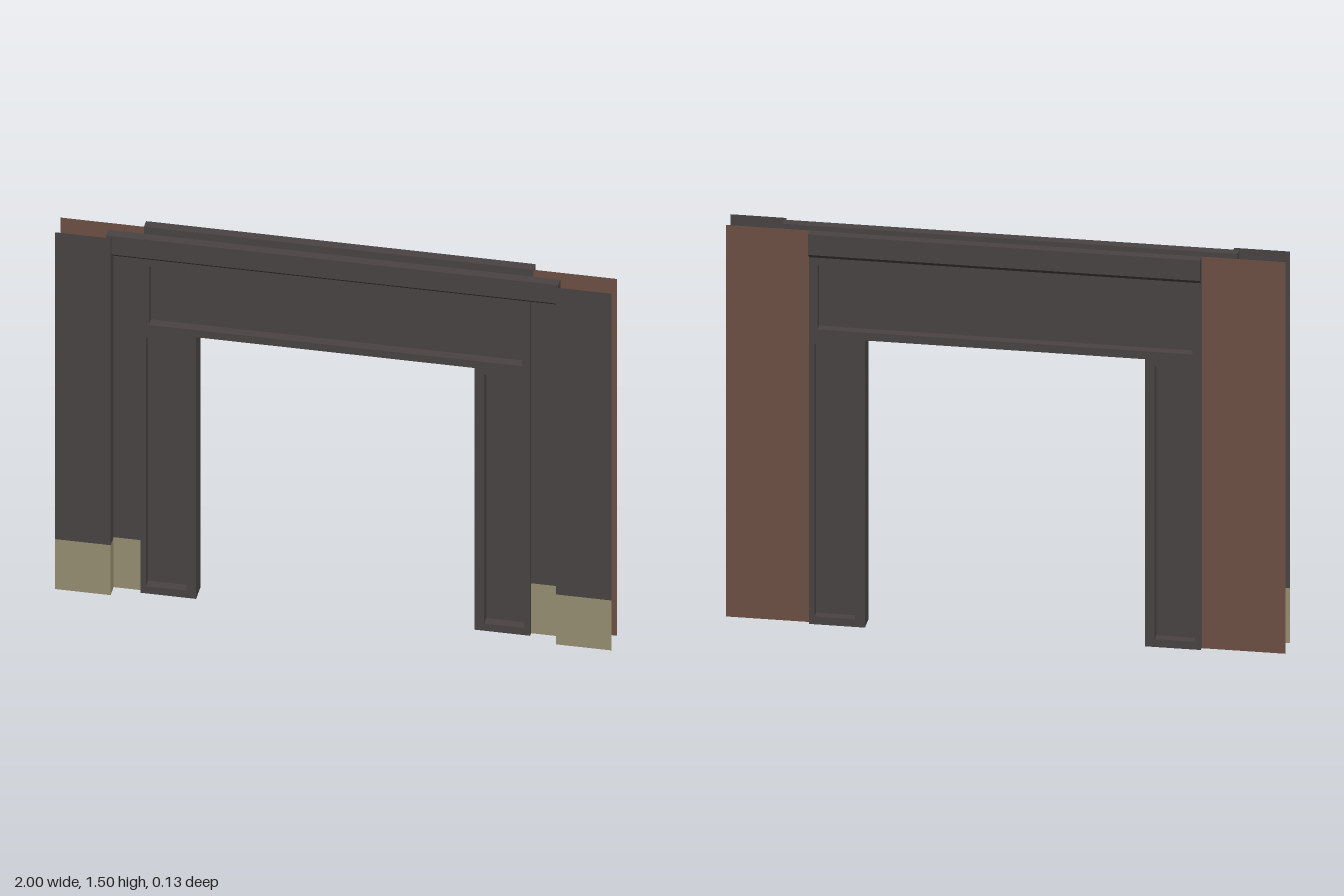
import * as THREE from 'three';

const mat = (name, color) => new THREE.MeshStandardMaterial({ name, color, side: THREE.DoubleSide });

export function createModel() {
  const root = new THREE.Group();
  root.name = 'doorway';
  const dark = mat('dark charcoal', 0x494443);
  const beige = mat('skirting beige', 0x988f72);
  const brown = mat('rear wall brown', 0x6e5045);

  const add = (parent, name, geo, material) => {
    const m = new THREE.Mesh(geo, material);
    m.name = name;
    parent.add(m);
    return m;
  };
  const group = (name) => {
    const g = new THREE.Group();
    g.name = name;
    root.add(g);
    return g;
  };
  // Flat sheets perpendicular to each axis
  const sheetZ = (p, name, x0, x1, y0, y1, z, m) =>
    add(p, name, new THREE.PlaneGeometry(Math.abs(x1 - x0), y1 - y0), m)
      .position.set((x0 + x1) / 2, (y0 + y1) / 2, z);
  const sheetX = (p, name, x, y0, y1, z0, z1, m) =>
    add(p, name, new THREE.PlaneGeometry(Math.abs(z1 - z0), y1 - y0).rotateY(Math.PI / 2), m)
      .position.set(x, (y0 + y1) / 2, (z0 + z1) / 2);
  const sheetY = (p, name, y, x0, x1, z0, z1, m) =>
    add(p, name, new THREE.PlaneGeometry(Math.abs(x1 - x0), Math.abs(z1 - z0)).rotateX(-Math.PI / 2), m)
      .position.set((x0 + x1) / 2, y, (z0 + z1) / 2);

  const H = 1.5, SK = 0.21, FRAME_TOP = 1.405;
  const Z_WALL = 0.067, Z_STEP = 0.014, Z_FRONT = 0.031, Z_BACK = -0.047, Z_REAR = -0.03;

  // Walls on both sides, with a beige skirting zone at the front
  const walls = group('walls');
  for (const s of [-1, 1]) {
    for (const [y0, y1, m, part] of [[0, SK, beige, 'skirting'], [SK, H, dark, 'wall']]) {
      sheetZ(walls, part + 'Front', s * 0.8, s, y0, y1, Z_WALL, m);
      sheetX(walls, part + 'Return', s * 0.8, y0, y1, Z_STEP, Z_WALL, m);
      sheetZ(walls, part + 'Step', s * 0.7, s * 0.8, y0, Math.min(y1, FRAME_TOP), Z_STEP, m);
    }
    sheetZ(walls, 'rearWall', s * 0.7, s, 0, H, Z_REAR, brown);
  }

  // Recessed panels: [x0, x1, y0, y1]
  const recesses = [
    [-0.68, -0.535, 0.03, 1.075],
    [0.535, 0.68, 0.03, 1.075],
    [-0.67, 0.67, 1.13, 1.375],
  ];

  // One face of the door frame with its sunken panels and outer edges
  const frame = group('doorFrame');
  const frameFace = (name, zFace, zPanel, zWall) => {
    const shape = new THREE.Shape([
      [-0.7, 0], [-0.5, 0], [-0.5, 1.1], [0.5, 1.1], [0.5, 0], [0.7, 0], [0.7, FRAME_TOP], [-0.7, FRAME_TOP],
    ].map(([x, y]) => new THREE.Vector2(x, y)));
    for (const [x0, x1, y0, y1] of recesses) {
      shape.holes.push(new THREE.Path([[x0, y0], [x0, y1], [x1, y1], [x1, y0]]
        .map(([x, y]) => new THREE.Vector2(x, y))));
      sheetZ(frame, name + 'Panel', x0, x1, y0, y1, zPanel, dark);
      for (const x of [x0, x1]) sheetX(frame, name + 'PanelSide', x, y0, y1, zPanel, zFace, dark);
      for (const y of [y0, y1]) sheetY(frame, name + 'PanelLedge', y, x0, x1, zPanel, zFace, dark);
    }
    const geo = new THREE.ShapeGeometry(shape);
    if (zFace < 0) geo.rotateY(Math.PI);
    add(frame, name + 'Face', geo, dark).position.z = zFace;
    for (const s of [-1, 1]) sheetX(frame, name + 'Edge', s * 0.7, 0, FRAME_TOP, zWall, zFace, dark);
  };
  frameFace('front', Z_FRONT, -0.006, Z_STEP);
  frameFace('back', Z_BACK, -0.011, Z_REAR);

  // Lining of the opening
  for (const s of [-1, 1]) sheetX(frame, 'jamb', s * 0.5, 0, 1.1, Z_BACK, Z_FRONT, dark);
  sheetY(frame, 'soffit', 1.1, -0.5, 0.5, Z_BACK, Z_FRONT, dark);

  // Header trims with a chamfered lower edge; profile runs outward from the wall
  const trim = (name, x0, x1, z0, dir) => {
    const profile = new THREE.Shape([[0, 1.405], [0.017, 1.405], [0.037, 1.422], [0.037, H], [0, H]]
      .map(([d, y]) => new THREE.Vector2(-(z0 + dir * d), y)));
    const geo = new THREE.ExtrudeGeometry(profile, { depth: x1 - x0, bevelEnabled: false });
    geo.rotateY(Math.PI / 2);
    add(root, name, geo, dark).position.x = x0;
  };
  trim('frontHeaderTrim', -0.82, 0.805, 0.014, 1);
  trim('backHeaderTrim', -0.7, 0.7, Z_REAR, -1);

  return root;
}
